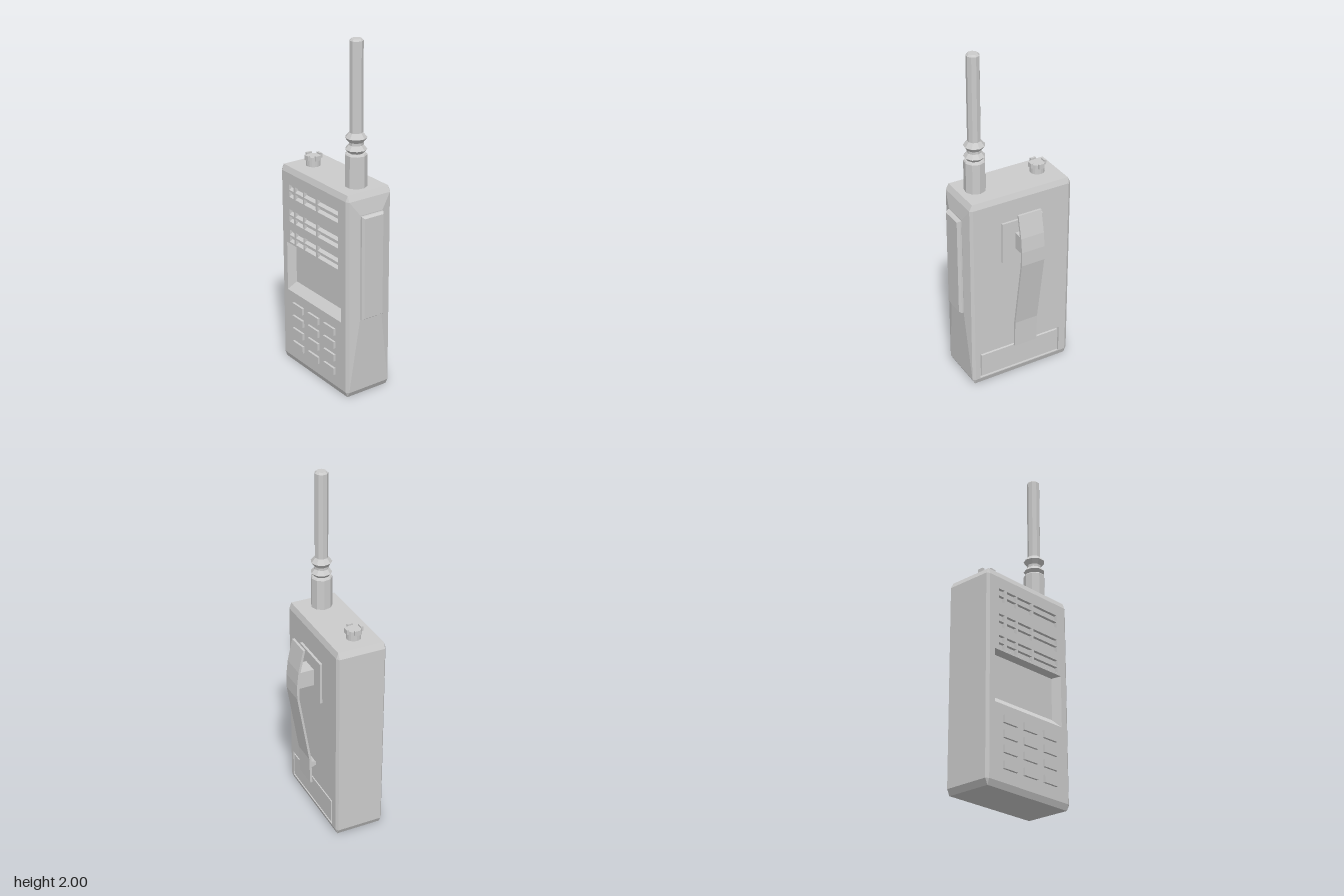
import * as THREE from 'three';
import { ConvexGeometry } from 'three/addons/geometries/ConvexGeometry.js';

const mat = new THREE.MeshStandardMaterial({ color: 0xcccccc, flatShading: true });

function add(parent, name, geometry, x = 0, y = 0, z = 0) {
  const mesh = new THREE.Mesh(geometry, mat);
  mesh.name = name;
  mesh.position.set(x, y, z);
  parent.add(mesh);
  return mesh;
}

// Rectangles are [x0, y0, x1, y1]; corners run counter-clockwise
const corners = ([x0, y0, x1, y1]) => [[x0, y0], [x1, y0], [x1, y1], [x0, y1]];
const inset = ([x0, y0, x1, y1], d) => [x0 + d, y0 + d, x1 - d, y1 - d];

// Four walls and a floor between two rectangles: a pocket if z1 < z0, a raised pad if z1 > z0
function step(outer, inner, z0, z1) {
  const a = corners(outer).map(p => [...p, z0]);
  const b = corners(inner).map(p => [...p, z1]);
  const pos = [];
  const quad = (p, q, r, s) => pos.push(...p, ...q, ...r, ...p, ...r, ...s);
  for (let i = 0; i < 4; i++) {
    const j = (i + 1) % 4;
    quad(a[i], a[j], b[j], b[i]);
  }
  quad(...b);
  const g = new THREE.BufferGeometry();
  g.setAttribute('position', new THREE.Float32BufferAttribute(pos, 3));
  g.computeVertexNormals();
  return g;
}

// Flat face pierced by rectangular holes
function piercedFace(rect, holes) {
  const toPath = (r, Type) => new Type(corners(r).map(p => new THREE.Vector2(...p)));
  const shape = toPath(rect, THREE.Shape);
  shape.holes = holes.map(h => toPath(h, THREE.Path));
  return new THREE.ShapeGeometry(shape);
}

const X0 = -0.335, X1 = 0.295, H = 1.2, Z0 = -0.09, Z1 = 0.2;
const CX = 0.017, CY = 0.033, CZ = 0.012;

// Chamfered case with a bulged side; front and back caps are left open
function caseGeometry() {
  const pts = [];
  for (const [x, sx] of [[X0, 1], [X1, -1]])
    for (const [y, sy] of [[0, 1], [H, -1]])
      for (const [z, sz] of [[Z0, 1], [Z1, -1]]) {
        const xi = x + sx * CX, yi = y + sy * CY, zi = z + sz * CZ;
        pts.push(new THREE.Vector3(x, yi, zi), new THREE.Vector3(xi, y, zi), new THREE.Vector3(xi, yi, z));
      }
  for (const y of [0.47, 1.085])
    for (const z of [-0.018, 0.128]) pts.push(new THREE.Vector3(0.31, y, z));
  const p = new ConvexGeometry(pts).getAttribute('position');
  const kept = [];
  for (let i = 0; i < p.count; i += 3) {
    const zs = [0, 1, 2].map(k => p.getZ(i + k));
    if (Math.min(...zs) > Z1 - 1e-4 || Math.max(...zs) < Z0 + 1e-4) continue;
    for (let k = 0; k < 3; k++) kept.push(p.getX(i + k), p.getY(i + k), p.getZ(i + k));
  }
  const g = new THREE.BufferGeometry();
  g.setAttribute('position', new THREE.Float32BufferAttribute(kept, 3));
  g.computeVertexNormals();
  return g;
}

export function createModel() {
  const model = new THREE.Group();
  model.name = 'handheldRadio';
  add(model, 'case', caseGeometry());

  // Front face with screen recess and speaker slots
  const front = new THREE.Group();
  front.name = 'front';
  model.add(front);
  const screen = [-0.28, 0.45, 0.237, 0.745];
  const slots = [];
  for (const y of [1.027, 0.88, 0.756])
    for (const dy of [0, 0.042])
      for (const [a, b] of [[-0.25, -0.207], [-0.19, -0.117], [-0.105, 0.005], [0.02, 0.21]])
        slots.push([a, y + dy, b, y + dy + 0.032]);
  add(front, 'frontFace', piercedFace([X0 + CX, CY, X1 - CX, H - CY], [screen, ...slots]), 0, 0, Z1);
  add(front, 'screenRecess', step(screen, [-0.255, 0.495, 0.21, 0.735], Z1, Z1 - 0.045));
  for (const s of slots)
    add(front, 'speakerSlot', step(s, [s[0], s[1] + 0.012, s[2], s[3]], Z1, Z1 - 0.018));

  // Keypad
  const keypad = new THREE.Group();
  keypad.name = 'keypad';
  model.add(keypad);
  for (const x of [-0.17, -0.02, 0.133])
    for (const y of [0.37, 0.29, 0.21, 0.125])
      add(keypad, 'key', new THREE.BoxGeometry(0.1, 0.041, 0.023), x, y, 0.2015);

  // Back face with a grooved battery cover
  const back = new THREE.Group();
  back.name = 'back';
  back.rotation.y = Math.PI;
  model.add(back);
  const cover = [-0.25, 0.038, 0.275, 0.205];
  add(back, 'backFace', piercedFace([CX - X1, CY, -X0 - CX, H - CY], [cover]), 0, 0, -Z0);
  add(back, 'coverGroove', step(cover, cover, -Z0, -Z0 - 0.012));
  add(back, 'batteryCover', step(inset(cover, 0.01), inset(cover, 0.012), -Z0 - 0.012, -Z0));

  // Side talk pad (local x is world -z)
  const side = new THREE.Group();
  side.name = 'talkPad';
  side.rotation.y = Math.PI / 2;
  model.add(side);
  const pad = [-0.126, 0.475, 0.016, 1.08];
  add(side, 'padBase', step(pad, pad, 0.305, 0.32));
  add(side, 'padTop', step(pad, inset(pad, 0.01), 0.32, 0.334));

  // Nine-sided antenna
  const profile = [
    [0.06, 1.19], [0.06, 1.378], [0.054, 1.386], [0.042, 1.388], [0.06, 1.408], [0.04, 1.432],
    [0.04, 1.447], [0.06, 1.472], [0.037, 1.5], [0.037, 1.99], [0.027, 2], [0, 2],
  ].map(p => new THREE.Vector2(...p));
  add(model, 'antenna', new THREE.LatheGeometry(profile, 9, Math.PI), 0.183, 0, 0.063);

  // Volume knob with four grips
  const knob = new THREE.Group();
  knob.name = 'knob';
  knob.position.set(-0.208, H, 0.065);
  model.add(knob);
  add(knob, 'knobStem', new THREE.CylinderGeometry(0.041, 0.041, 0.06, 16), 0, 0.025, 0);
  for (let i = 0; i < 4; i++) {
    const a = i * Math.PI / 2 + 0.03;
    const grip = add(knob, 'knobGrip', new THREE.BoxGeometry(0.034, 0.028, 0.013),
      Math.sin(a) * 0.0425, 0.05, Math.cos(a) * 0.0425);
    grip.rotation.y = a;
  }

  // Belt clip: mounting plate, stem, bent strip and foot
  const clip = new THREE.Group();
  clip.name = 'beltClip';
  model.add(clip);
  add(clip, 'clipPlate', new THREE.BoxGeometry(0.255, 0.25, 0.02), -0.02, 0.915, -0.094);
  add(clip, 'clipStem', new THREE.BoxGeometry(0.098, 0.1, 0.1), -0.021, 0.915, -0.148);
  // Side profile (z, y) extruded along x
  const extrudeSide = (pts, width) => {
    const g = new THREE.ExtrudeGeometry(new THREE.Shape(pts.map(([z, y]) => new THREE.Vector2(-z, y))),
      { depth: width, bevelEnabled: false });
    return g.translate(0, 0, -width / 2).rotateY(Math.PI / 2);
  };
  const line = [[-0.163, 1.115], [-0.192, 0.985], [-0.201, 0.9], [-0.201, 0.815],
    [-0.166, 0.6], [-0.145, 0.47], [-0.132, 0.39], [-0.127, 0.225]];
  const strip = [...line, ...line.map(([z, y]) => [z - 0.013, y]).reverse()];
  add(clip, 'clipStrip', extrudeSide(strip, 0.142), -0.021);
  add(clip, 'clipFoot', extrudeSide([[-0.085, 0.334], [-0.085, 0.316], [-0.132, 0.3], [-0.132, 0.35]], 0.08), -0.021);

  return model;
}
